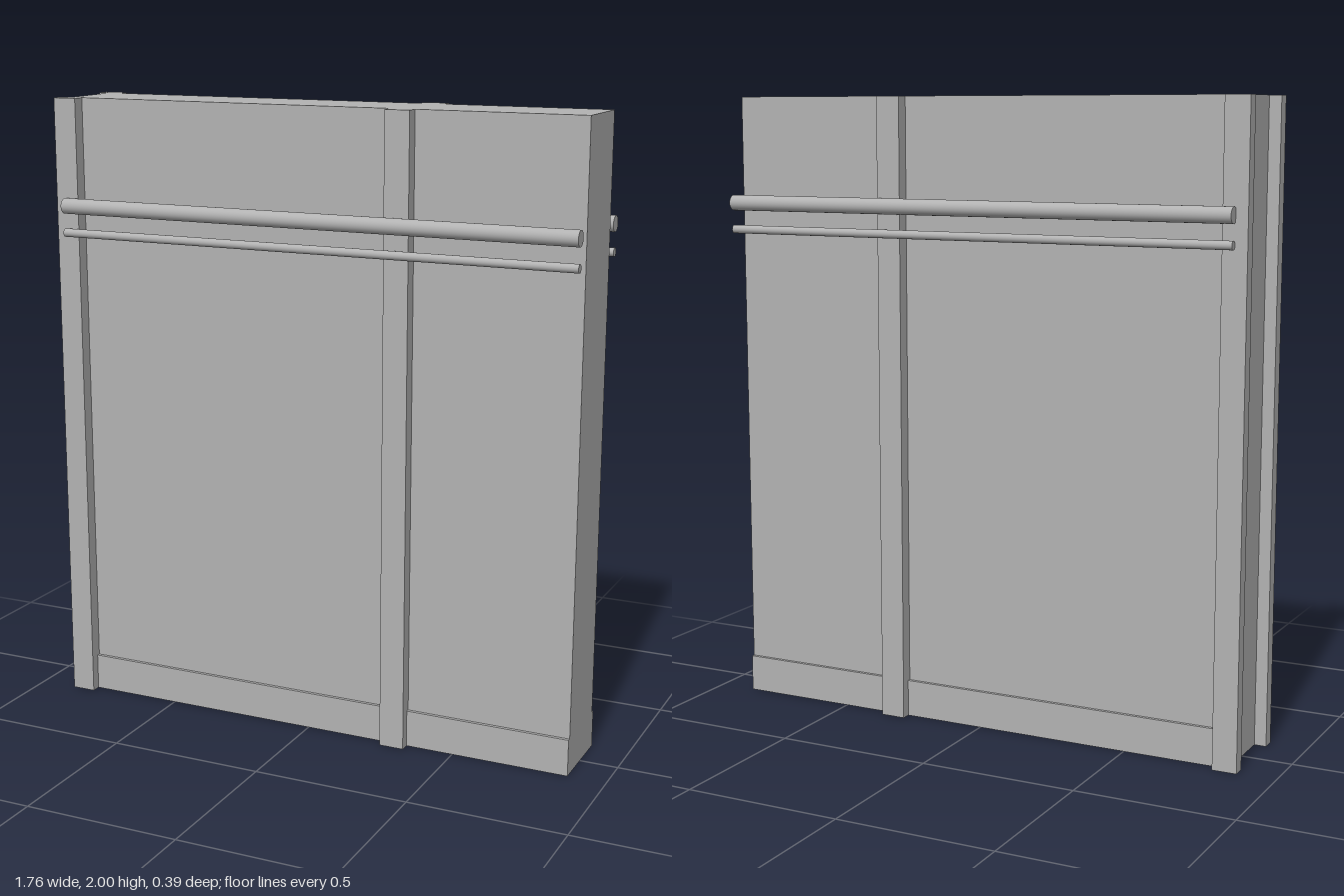
import * as THREE from 'three';

const LEFT = -0.84, RIGHT = 0.878, HEIGHT = 2, BASE = 0.118;
const WALL_Z = 0.115, POST_Z = 0.157, RAIL_Z = 0.172;

export function createModel() {
  const model = new THREE.Group();
  model.name = 'wallSection';
  const grey = new THREE.MeshStandardMaterial({ color: 0xb2b2b2 });
  grey.name = 'plainGrey';

  const add = (name, geometry) => {
    const mesh = new THREE.Mesh(geometry, grey);
    mesh.name = name;
    model.add(mesh);
  };

  // Box given by its lower and upper limits on each axis
  const block = (name, x0, x1, y0, y1, z0, z1) => add(name,
    new THREE.BoxGeometry(x1 - x0, y1 - y0, z1 - z0)
      .translate((x0 + x1) / 2, (y0 + y1) / 2, (z0 + z1) / 2));

  // Round rail running along the wall
  const rail = (name, y, z, radius) => add(name,
    new THREE.CylinderGeometry(radius, radius, RIGHT - LEFT, 24)
      .rotateZ(Math.PI / 2)
      .translate((LEFT + RIGHT) / 2, y, z));

  // Wall standing on a slightly thicker skirting
  block('wall', LEFT, RIGHT, BASE, HEIGHT, -WALL_Z, WALL_Z);
  block('skirting', LEFT, RIGHT, 0, BASE, -0.126, 0.126);

  // Posts and handrails on both faces
  for (const [face, s] of [['front', 1], ['back', -1]]) {
    const z0 = Math.min(s * WALL_Z, s * POST_Z);
    const z1 = Math.max(s * WALL_Z, s * POST_Z);
    block(face + 'EndPost', -0.878, -0.8, 0, HEIGHT, z0, z1);
    block(face + 'MiddlePost', 0.265, 0.345, 0, HEIGHT, z0, z1);
    rail(face + 'UpperRail', 1.66, s * RAIL_Z, 0.025);
    rail(face + 'LowerRail', 1.574, s * RAIL_Z, 0.0135);
  }
  return model;
}
